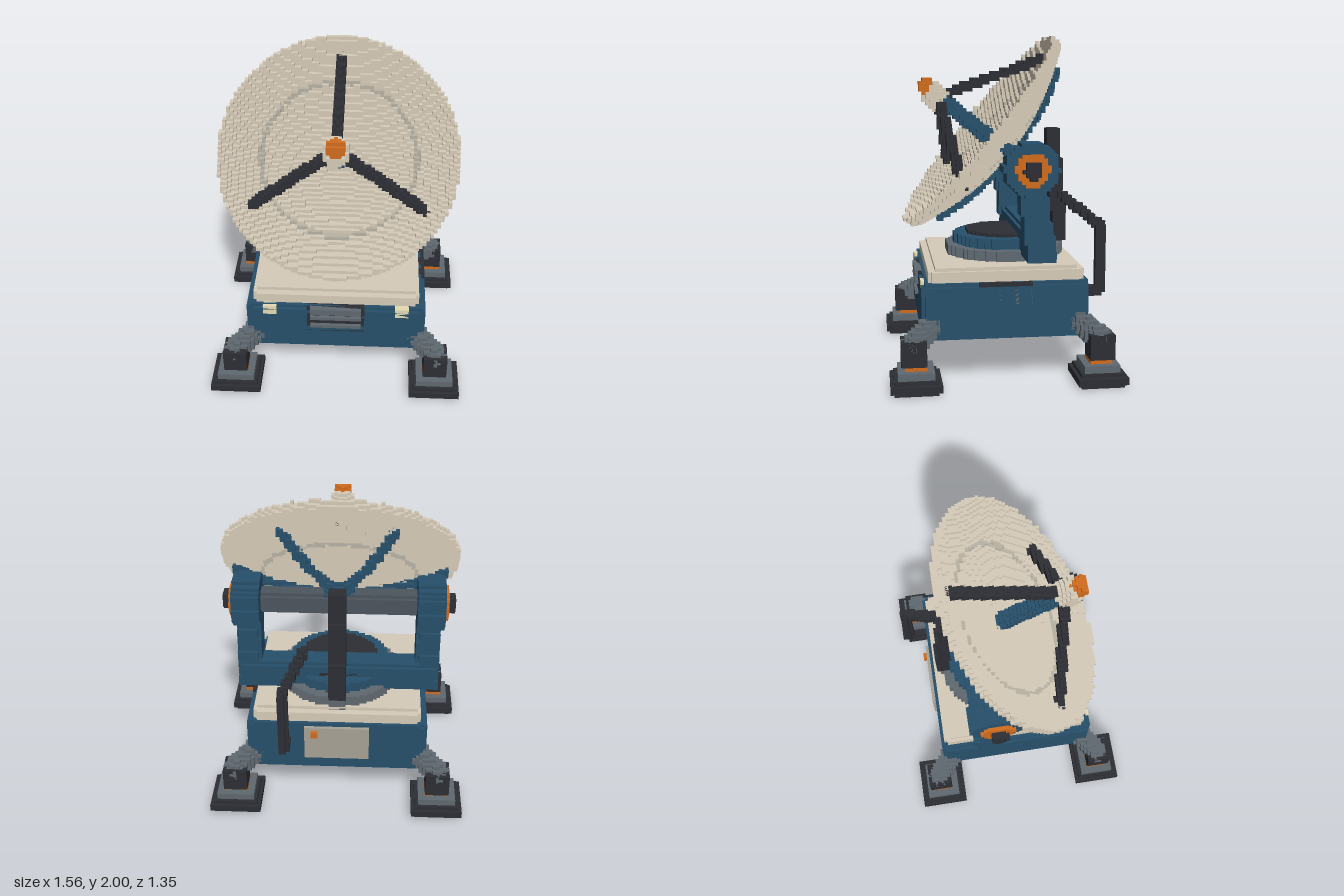
import * as THREE from 'three';

const CELL = 1 / 48;
const NX = 81, NY = 98, NZ = 71; // grid size with an empty border
const CREAM = 0xd6ccb9, BLUE = 0x27506b, DARK = 0x2c2e34, GREY = 0x5f6970, ORANGE = 0xd26c1e;
const V = (x, y, z) => new THREE.Vector3(x, y, z);

// The dish assembly tilts about the axle; s runs along its axis, v up its face
const PIVOT = V(0, 1.245, -0.135), AX = { y: 0.63, z: 0.776 };
const dishPoint = (x, v, s) => V(x, PIVOT.y + s * AX.y + v * AX.z, PIVOT.z + s * AX.z - v * AX.y);
const bowl = (r) => 0.11 + 0.18 * (r / 0.72) ** 2;

// Solid tests
const block = (x0, x1, y0, y1, z0, z1) => (x, y, z) =>
  x > x0 && x < x1 && y > y0 && y < y1 && z > z0 && z < z1;
const rounded = (cx, cy, cz, hx, hy, hz, r) => (x, y, z) =>
  Math.hypot(Math.max(Math.abs(x - cx) - hx + r, 0), Math.max(Math.abs(y - cy) - hy + r, 0),
    Math.max(Math.abs(z - cz) - hz + r, 0)) < r;
const rod = (a, b, r, capped = false) => {
  const dx = b.x - a.x, dy = b.y - a.y, dz = b.z - a.z, l2 = dx * dx + dy * dy + dz * dz;
  return (x, y, z) => {
    let t = ((x - a.x) * dx + (y - a.y) * dy + (z - a.z) * dz) / l2;
    if (!capped && (t < 0 || t > 1)) return false;
    t = Math.min(1, Math.max(0, t));
    return Math.hypot(x - a.x - t * dx, y - a.y - t * dy, z - a.z - t * dz) < r;
  };
};
const drum = (r, y0, y1, cz) => rod(V(0, y0, cz), V(0, y1, cz), r);
const dishSolid = (test) => (x, y, z) => {
  const dy = y - PIVOT.y, dz = z - PIVOT.z;
  const s = dy * AX.y + dz * AX.z, v = dy * AX.z - dz * AX.y;
  return test(x, v, s, Math.hypot(x, v));
};
const any = (...tests) => (x, y, z) => tests.some((t) => t(x, y, z));

// Fill the grid from a solid test and skin it, joining faces into strips
function voxelGeometry(inside) {
  const grid = new Uint8Array(NX * NY * NZ);
  const at = (i, j, k) => grid[(k * NY + j) * NX + i];
  for (let k = 1; k < NZ - 1; k++) for (let j = 1; j < NY - 1; j++) for (let i = 1; i < NX - 1; i++) {
    if (inside((i - 40) * CELL, (j - 0.5) * CELL, (k - 35) * CELL)) grid[(k * NY + j) * NX + i] = 1;
  }
  const pos = [], nor = [], idx = [];
  const quad = (c, n) => {
    const b = pos.length / 3;
    for (const [i, j, k] of c) {
      pos.push((i - 40.5) * CELL, (j - 1) * CELL, (k - 35.5) * CELL);
      nor.push(...n);
    }
    idx.push(b, b + 1, b + 2, b, b + 2, b + 3);
  };
  // face axis, then the two in-plane axes; strips run along the first of them
  for (const [a, u, w] of [[0, 1, 2], [1, 0, 2], [2, 0, 1]]) for (const dir of [1, -1]) {
    const size = [NX, NY, NZ], n = [0, 0, 0];
    n[a] = dir;
    const open = (p) => at(...p) && !at(p[0] + n[0], p[1] + n[1], p[2] + n[2]);
    const flip = (a === 1 ? -1 : 1) * dir < 0;
    for (let f = 1; f < size[a] - 1; f++) for (let q = 1; q < size[w] - 1; q++) {
      const p = [0, 0, 0];
      p[a] = f;
      p[w] = q;
      for (let e = 1; e < size[u] - 1; e++) {
        p[u] = e;
        if (!open(p)) continue;
        const start = e;
        do p[u] = ++e; while (open(p));
        const corners = [[start, q], [e, q], [e, q + 1], [start, q + 1]].map(([cu, cw]) => {
          const c = [0, 0, 0];
          c[a] = f + (dir > 0 ? 1 : 0);
          c[u] = cu;
          c[w] = cw;
          return c;
        });
        quad(flip ? corners.reverse() : corners, n);
      }
    }
  }
  const g = new THREE.BufferGeometry();
  g.setAttribute('position', new THREE.Float32BufferAttribute(pos, 3));
  g.setAttribute('normal', new THREE.Float32BufferAttribute(nor, 3));
  g.setIndex(idx);
  return g;
}

export function createModel() {
  const model = new THREE.Group();
  model.name = 'dishStation';
  const add = (name, color, inside) => {
    const mesh = new THREE.Mesh(voxelGeometry(inside), new THREE.MeshStandardMaterial({ color }));
    mesh.name = name;
    model.add(mesh);
  };
  // Repeats a solid on all four corners, or on both sides
  const corners = (t) => (x, y, z) => t(Math.abs(x), y, Math.abs(z));
  const sides = (t) => (x, y, z) => t(Math.abs(x), y, z);

  // Feet and legs
  const pad = (hx, hz, y0, y1) => block(0.625 - hx, 0.625 + hx, y0, y1, 0.535 - hz, 0.535 + hz);
  add('footPads', DARK, corners(any(pad(0.136, 0.125, 0, 0.02), pad(0.156, 0.145, 0.02, 0.063),
    pad(0.136, 0.125, 0.06, 0.083))));
  add('footPlates', GREY, corners(pad(0.125, 0.105, 0.083, 0.115)));
  add('footCollars', ORANGE, corners(pad(0.065, 0.065, 0.1, 0.15)));
  add('footBlocks', DARK, corners(pad(0.08, 0.075, 0.146, 0.292)));
  add('legs', GREY, corners(rod(V(0.49, 0.34, 0.42), V(0.63, 0.26, 0.54), 0.068, true)));

  // Base cabinet
  add('cabinet', BLUE, rounded(0, 0.415, -0.005, 0.545, 0.168, 0.485, 0.035));
  add('cabinetLid', CREAM, rounded(0, 0.6, -0.01, 0.515, 0.057, 0.455, 0.04));
  add('frontVent', DARK, block(-0.18, 0.18, 0.4, 0.59, 0.4, 0.49));
  add('frontVentSlats', GREY, any(...[0.45, 0.505, 0.56].map((y) =>
    block(-0.15, 0.15, y - 0.015, y + 0.015, 0.45, 0.51))));
  add('lamps', 0xe6dcb4, sides(block(0.37, 0.45, 0.52, 0.58, 0.4, 0.49)));
  add('sideVentHood', DARK, block(0.5, 0.56, 0.56, 0.59, -0.15, 0.15));
  add('sideVentSlats', GREY, any(...[0.105, 0.025, -0.055, -0.135].map((z) =>
    block(0.5, 0.56, 0.45, 0.56, z - 0.018, z + 0.018))));
  add('rearPanel', 0xa8a296, block(-0.2, 0.2, 0.34, 0.56, -0.505, -0.44));
  add('rearSwitch', ORANGE, block(0.11, 0.155, 0.49, 0.55, -0.535, -0.45));

  // Turntable
  add('turntableRing', GREY, drum(0.365, 0.64, 0.72, -0.055));
  add('turntableDrum', BLUE, drum(0.31, 0.71, 0.79, -0.055));
  add('turntableCap', DARK, drum(0.24, 0.78, 0.815, -0.055));

  // Yoke with its axle hubs
  const fork = (x, y, z) => {
    const ax = Math.abs(x), mid = -0.2 + (y - 0.7) * 0.13;
    return y > 0.7 && y < 1.25 && ax > 0.47 && ax < 0.625
      && Math.abs(z - mid) < 0.08 && Math.abs(z - mid) + Math.abs(ax - 0.547) < 0.14;
  };
  const hub = (r, x0, x1) => sides(rod(V(x0, PIVOT.y, PIVOT.z), V(x1, PIVOT.y, PIVOT.z), r));
  add('yoke', BLUE, any(fork, rounded(0, 0.785, -0.2, 0.6, 0.08, 0.08, 0.03)));
  add('yokeHubs', BLUE, hub(0.157, 0.46, 0.625));
  add('hubRings', ORANGE, hub(0.096, 0.6, 0.655));
  add('hubCaps', DARK, hub(0.052, 0.6, 0.69));
  add('axle', 0x4d555e, hub(0.07, -0.02, 0.5));

  // Dish, seam ring and rear ribs
  const seam = (r) => Math.abs(r - 0.47) < 0.013;
  add('dish', CREAM, dishSolid((x, v, s, r) => r < 0.722 && Math.abs(s - bowl(r)) < 0.03 && !seam(r)));
  add('dishSeam', 0xb9b3a5, dishSolid((x, v, s, r) => seam(r) && Math.abs(s - bowl(r)) < 0.03));
  add('dishRibs', BLUE, dishSolid((x, v, s, r) => {
    if (r > 0.65 || r < 0.05 || s > bowl(r) - 0.02 || s < bowl(r) - 0.075) return false;
    const step = Math.PI / 3, ang = Math.atan2(v, x);
    return Math.abs(Math.sin(ang - Math.round(ang / step) * step)) * r < 0.024;
  }));
  add('dishMount', BLUE, rod(dishPoint(0, 0, 0), dishPoint(0, 0, 0.1), 0.11));

  // Feed on its boom, with three stays
  add('feedBoom', BLUE, rod(dishPoint(0, 0, 0.09), dishPoint(0, 0, 0.6), 0.047));
  add('feedHead', CREAM, rod(dishPoint(0, -0.01, 0.585), dishPoint(0, -0.01, 0.7), 0.075));
  add('feedTip', ORANGE, rod(dishPoint(0, 0, 0.67), dishPoint(0, 0, 0.76), 0.05));
  add('feedStays', DARK, any(...[0, 1, 2].map((i) => {
    const a = Math.PI / 2 + i * Math.PI * 2 / 3, c = Math.cos(a), s = Math.sin(a);
    return rod(dishPoint(0.06 * c, 0.06 * s, 0.585), dishPoint(0.62 * c, 0.62 * s, bowl(0.62)), 0.031, true);
  })));

  // Rear counterweight arm and cable
  add('rearArm', DARK, (x, y, z) => y > 0.72 && y < 1.43 && Math.abs(x) < 0.052
    && Math.abs(z + 0.36 + (1.42 - y) * 0.075) < 0.044);
  const cable = [V(0.2, 1.04, -0.39), V(0.32, 0.87, -0.6), V(0.32, 0.47, -0.6), V(0.32, 0.47, -0.47)];
  add('cable', DARK, any(...cable.slice(1).map((p, i) => rod(cable[i], p, 0.031, true))));
  return model;
}
